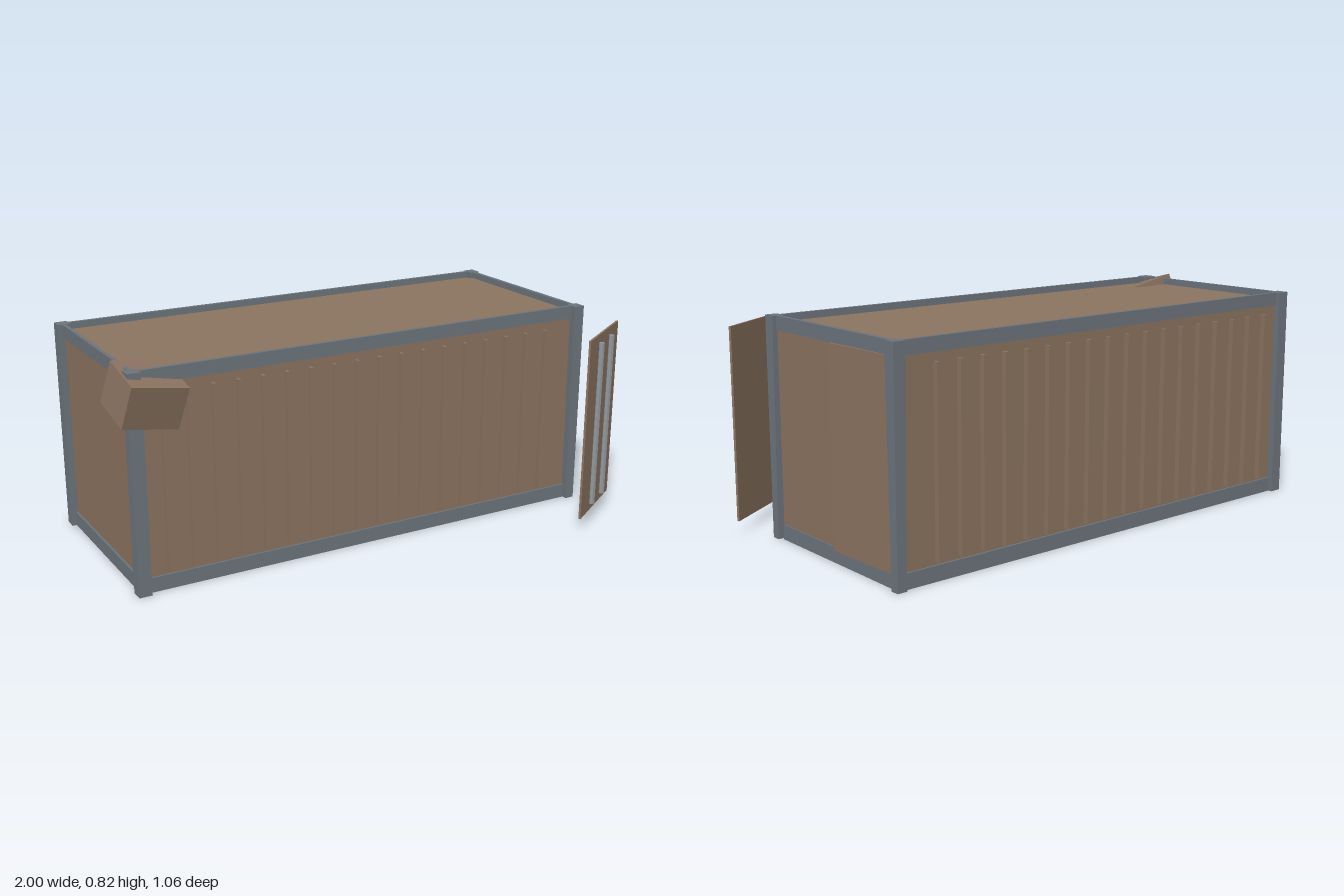
import * as THREE from 'three';

export function createModel() {
  const root = new THREE.Group();
  const mat = (color) => new THREE.MeshStandardMaterial({ color, flatShading: true });
  const rust = mat(0x8b7360), steel = mat(0x6c747c), bright = mat(0x92989e);

  const add = (name, geo, material, x, y, z, parent = root) => {
    const m = new THREE.Mesh(geo, material);
    m.name = name;
    m.position.set(x, y, z);
    parent.add(m);
    return m;
  };
  const box = (name, material, x0, x1, y0, y1, z0, z1, parent) =>
    add(name, new THREE.BoxGeometry(x1 - x0, y1 - y0, z1 - z0), material,
      (x0 + x1) / 2, (y0 + y1) / 2, (z0 + z1) / 2, parent);

  // Sheet-metal shell with sunken roof and floor
  const xL = -0.935, xR = 0.89, zB = -0.51, zF = 0.204;
  box('body', rust, xL, xR, 0.03, 0.775, zB, zF);

  // Thin rails along every top and bottom edge
  for (const [y0, y1, label] of [[0, 0.055, 'bottom'], [0.75, 0.8, 'top']]) {
    box(label + 'FrontRail', steel, -0.915, 0.88, y0, y1, zF - 0.006, zF + 0.008);
    box(label + 'BackRail', steel, -0.915, 0.88, y0, y1, zB - 0.008, zB + 0.006);
    box(label + 'RightRail', steel, xL - 0.008, xL + 0.006, y0, y1, -0.49, 0.185);
    box(label + 'LeftRail', steel, xR - 0.006, xR + 0.01, y0, y1, -0.49, 0.185);
  }

  // Square posts at the closed end
  box('frontPost', steel, -0.96, -0.912, 0, 0.8, 0.183, 0.232);
  box('backPost', steel, -0.96, -0.912, 0, 0.8, -0.533, -0.485);

  // Bent posts at the door end, narrower at the foot
  for (const [name, zOut, s] of [['frontDoorPost', 0.232, -1], ['backDoorPost', -0.53, 1]]) {
    const g = new THREE.BoxGeometry(0.045, 0.8, 0.048);
    const p = g.attributes.position;
    for (let i = 0; i < p.count; i++) {
      const foot = p.getY(i) < 0;
      if (p.getZ(i) * s > 0 && foot) p.setZ(i, p.getZ(i) - s * 0.015);
      if (p.getX(i) < 0 && foot) p.setX(i, p.getX(i) + 0.008);
    }
    g.computeVertexNormals();
    add(name, g, steel, 0.892, 0.4, zOut + s * 0.024);
  }

  // Vertical ribs on both long walls
  for (let i = 0; i < 18; i++) {
    const x = -0.837 + i * 0.093;
    box('frontRib', rust, x - 0.006, x + 0.006, 0.065, 0.72, zF - 0.005, zF + 0.02);
    box('backRib', rust, x - 0.006, x + 0.006, 0.065, 0.72, zB - 0.02, zB + 0.005);
  }

  // Closed door leaf, and a second leaf standing slightly ajar
  box('doorLeaf', rust, xR, xR + 0.006, 0.055, 0.75, -0.165, 0.186);
  const ajar = new THREE.Group();
  ajar.name = 'ajarDoor';
  ajar.position.set(xR + 0.004, 0, -0.505);
  ajar.rotation.y = 0.035;
  box('ajarLeaf', rust, 0, 0.008, 0.05, 0.752, 0, 0.34, ajar);
  root.add(ajar);

  // Torn-off door with two locking bars
  const door = new THREE.Group();
  door.name = 'looseDoor';
  door.position.set(0.853, 0.402, 0.43);
  door.rotation.y = 0.575;
  box('looseLeaf', rust, -0.17, 0.17, -0.352, 0.352, -0.004, 0.004, door);
  for (const x of [-0.064, 0.06])
    add('lockingBar', new THREE.CylinderGeometry(0.011, 0.011, 0.645, 6), bright, x, 0, 0.013, door);
  root.add(door);

  // Tilted crumpled block caught on the upper corner
  const block = add('cornerBlock', new THREE.BoxGeometry(0.21, 0.157, 0.185), rust, -0.88, 0.7, 0.17);
  block.rotation.set(0.25, 0.03, -0.19);

  return root;
}
